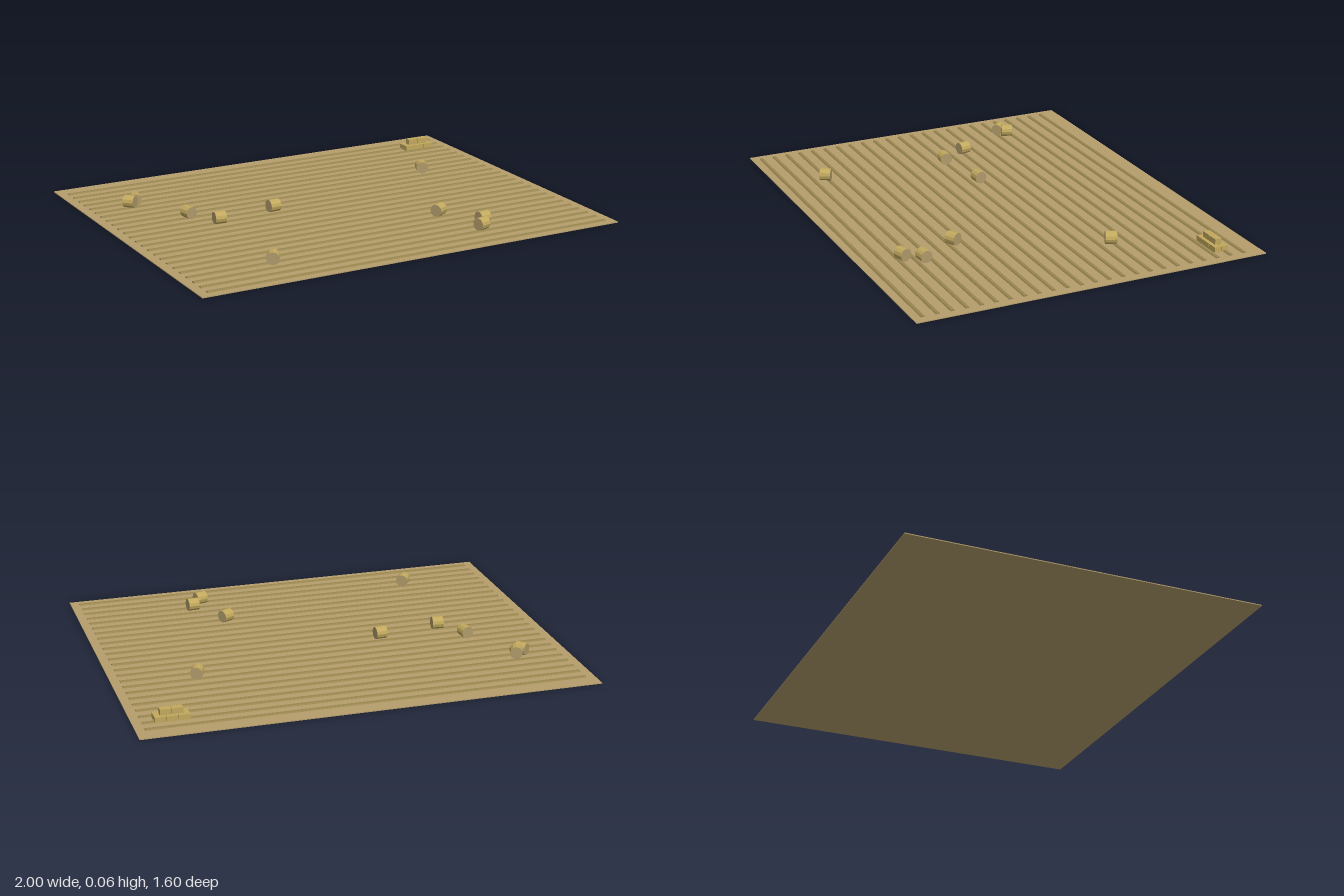
import * as THREE from 'three';

const mat = (name, color) => Object.assign(new THREE.MeshStandardMaterial({ color }), { name });

export function createModel() {
  const soil = mat('dry soil', 0xb59e6c);
  const stubble = mat('stubble', 0x98854f);
  const straw = mat('straw', 0xc2a95e);
  const strawEnd = mat('straw end', 0xb09a6a);
  const model = new THREE.Group();
  model.name = 'hayField';

  const add = (parent, name, geometry, material, x, y, z) => {
    const mesh = new THREE.Mesh(geometry, material);
    mesh.name = name;
    mesh.position.set(x, y, z);
    parent.add(mesh);
    return mesh;
  };

  // Thin slab of ground
  add(model, 'ground', new THREE.BoxGeometry(2, 0.004, 1.6), soil, 0, 0.002, 0);

  // Low ridges of cut stubble running across the field
  const rows = new THREE.Group();
  rows.name = 'stubbleRows';
  model.add(rows);
  const profile = new THREE.Shape([[-0.011, 0], [0.011, 0], [0.006, 0.006], [-0.006, 0.006]]
    .map(([a, b]) => new THREE.Vector2(a, b)));
  const ridge = new THREE.ExtrudeGeometry(profile, { depth: 1.92, bevelEnabled: false });
  ridge.translate(0, 0, -0.96).rotateY(Math.PI / 2);
  for (let i = 0; i < 24; i++) add(rows, 'stubbleRow', ridge, stubble, 0, 0.003, -0.717 + i * 0.064);

  // Round bales lying on their sides: x, z and the direction of the axis
  const bales = new THREE.Group();
  bales.name = 'roundBales';
  model.add(bales);
  const bale = new THREE.CylinderGeometry(0.028, 0.028, 0.05, 12).rotateZ(Math.PI / 2).toNonIndexed();
  bale.computeVertexNormals();
  [
    [-0.79, -0.405, 0.68, 0.73], [-0.755, -0.43, 0.32, -0.95], [0.635, -0.255, 0.38, -0.92],
    [-0.625, -0.14, 0.18, 0.98], [-0.54, -0.005, 1, 0.09], [-0.255, -0.048, 1, -0.08],
    [0.355, 0.355, 0.88, -0.47], [-0.575, 0.577, 0.5, -0.86], [0.468, 0.538, 1, -0.12],
    [0.415, 0.612, 0.96, -0.28],
  ].forEach(([x, z, ax, az]) => {
    add(bales, 'roundBale', bale, [straw, strawEnd, strawEnd], x, 0.034, z).rotation.y = Math.atan2(-az, ax);
  });

  // Stack of square bales: a 3 x 2 base with two more on top
  const stack = new THREE.Group();
  stack.name = 'squareBaleStack';
  stack.position.set(0.834, 0, -0.635);
  model.add(stack);
  const block = new THREE.BoxGeometry(0.049, 0.025, 0.031);
  for (const x of [-0.05, 0, 0.05])
    for (const z of [-0.016, 0.016]) add(stack, 'squareBale', block, straw, x, 0.0155, z);
  for (const x of [-0.025, 0.025]) add(stack, 'squareBale', block, straw, x, 0.041, 0);

  return model;
}
